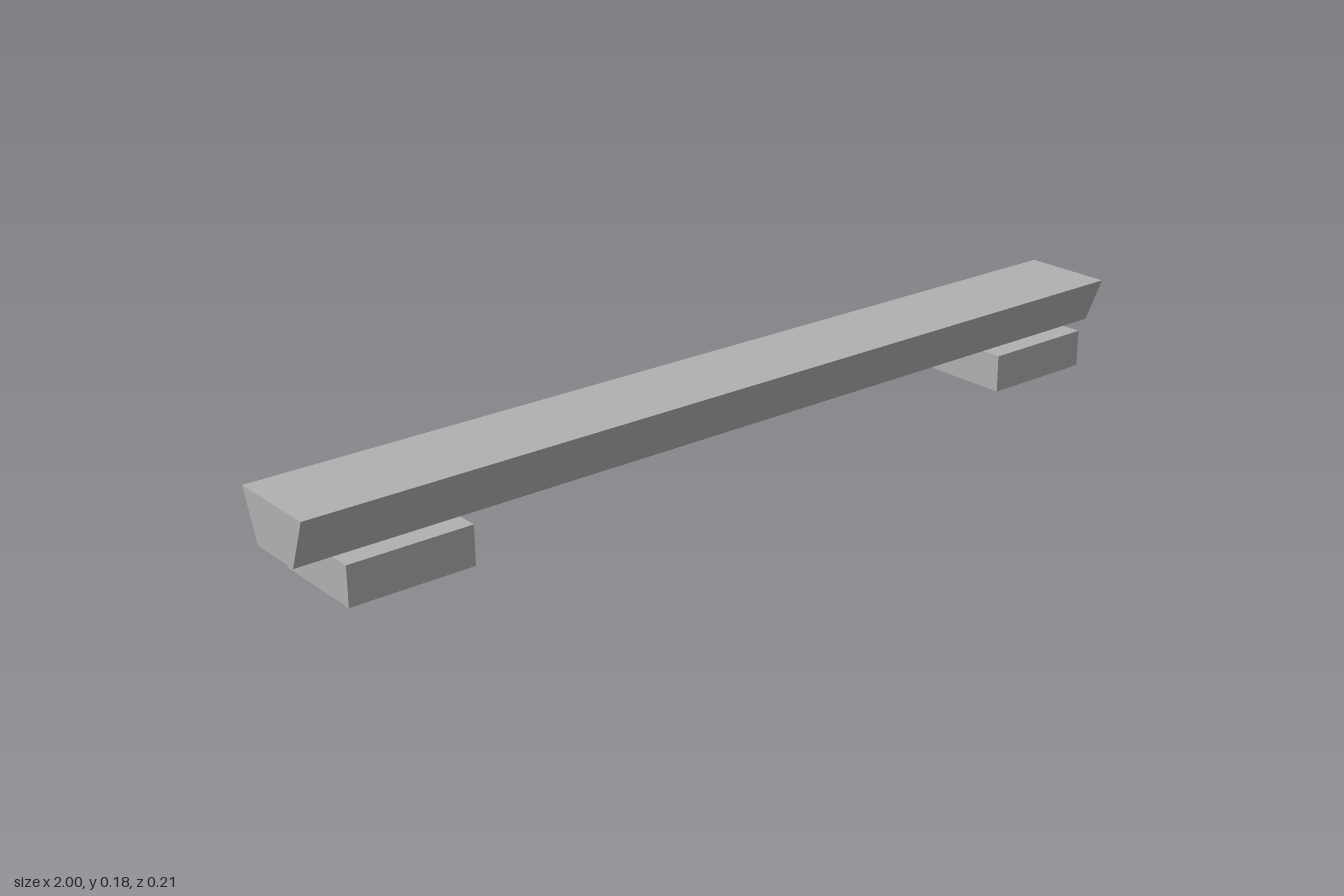
import * as THREE from 'three';

const BAR_BOTTOM = 0.08, BAR_TOP = 0.18;

function polygon(points, Type = THREE.Shape) {
  return new Type(points.map(([x, y]) => new THREE.Vector2(x, y)));
}

function rectangle(w, d, Type) {
  return polygon([[-w / 2, -d / 2], [w / 2, -d / 2], [w / 2, d / 2], [-w / 2, d / 2]], Type);
}

export function createModel() {
  const model = new THREE.Group();
  model.name = 'bench';
  const grey = new THREE.MeshStandardMaterial({ color: 0xb0b0b0, flatShading: true });
  grey.name = 'grey';

  // Long beam with a tapered cross-section, wider at the top
  const section = polygon([[-0.06, BAR_BOTTOM], [0.06, BAR_BOTTOM], [0.1, BAR_TOP], [-0.1, BAR_TOP]]);
  const beamGeometry = new THREE.ExtrudeGeometry(section, { depth: 2, bevelEnabled: false });
  beamGeometry.translate(0, 0, -1).rotateY(Math.PI / 2);
  const beam = new THREE.Mesh(beamGeometry, grey);
  beam.name = 'beam';
  model.add(beam);

  // Hollow rectangular feet, open underneath up to the beam
  const outline = rectangle(0.257, 0.209);
  outline.holes.push(rectangle(0.17, 0.12, THREE.Path));
  const footGeometry = new THREE.ExtrudeGeometry(outline, { depth: BAR_BOTTOM, bevelEnabled: false });
  footGeometry.rotateX(-Math.PI / 2);
  for (const [name, side] of [['leftFoot', 1], ['rightFoot', -1]]) {
    const foot = new THREE.Mesh(footGeometry, grey);
    foot.name = name;
    foot.position.x = side * 0.797;
    model.add(foot);
  }
  return model;
}
